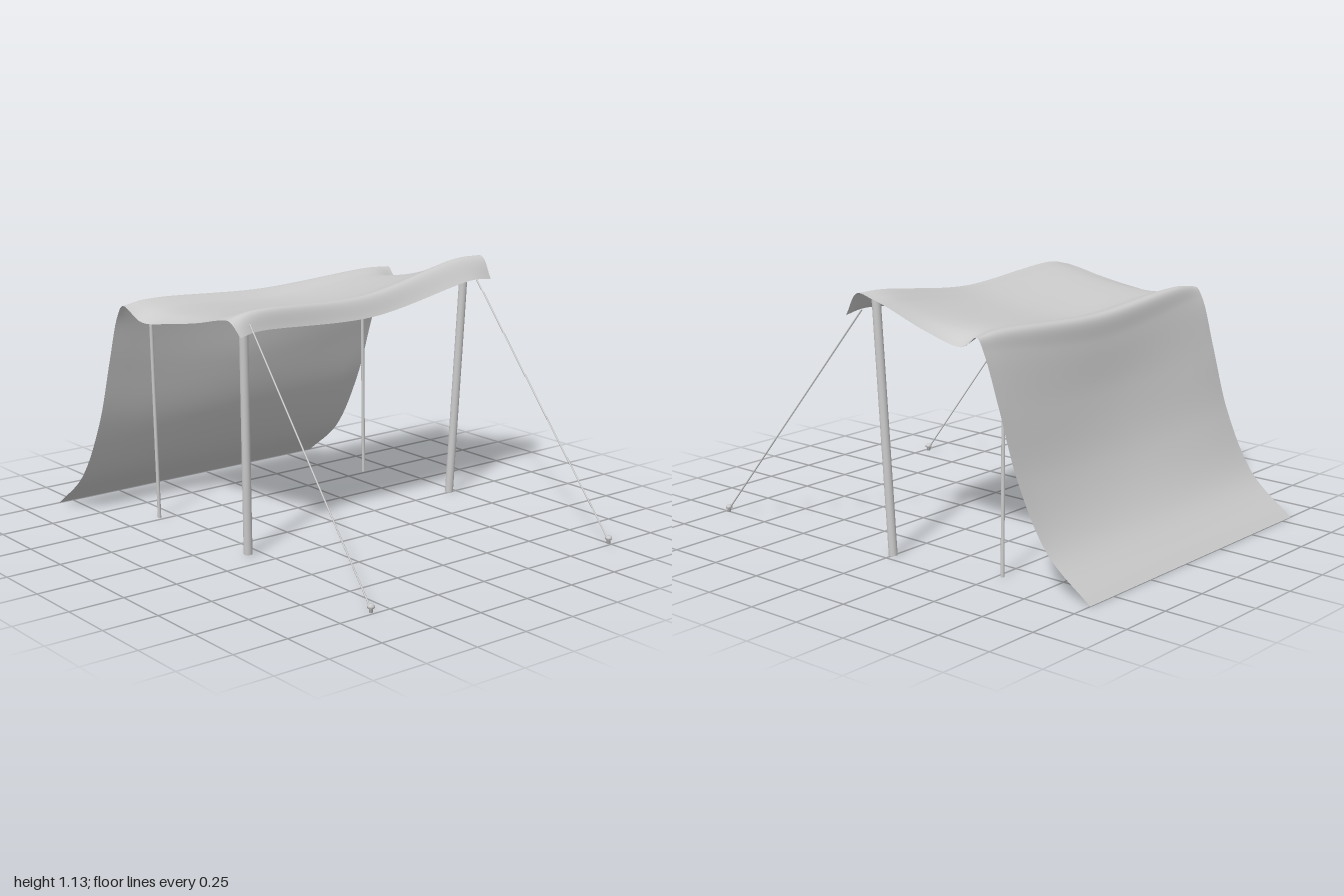
import * as THREE from 'three';

const V = (x, y, z) => new THREE.Vector3(x, y, z);

// Cloth profiles [x, y] from the ground hem over the ridge to the open hem,
// listed from the front edge to the back edge
const PROFILES = [
  [[-1, 0], [-.8, .17], [-.67, .44], [-.59, .74], [-.535, .95], [-.5, 1.0],
    [-.39, .945], [-.2, .965], [0, 1.0], [.13, 1.03], [.2, 1.035], [.27, .98]],
  [[-1, 0], [-.8, .17], [-.675, .42], [-.595, .7], [-.535, .94], [-.505, 1.015],
    [-.4, .985], [-.2, .99], [0, 1.015], [.12, 1.045], [.19, 1.06], [.23, .985]],
  [[-1, 0], [-.8, .17], [-.66, .4], [-.58, .66], [-.545, .88], [-.52, .985],
    [-.4, .965], [-.2, .975], [0, 1.005], [.09, 1.03], [.15, 1.043], [.2, .96]],
  [[-1, 0], [-.8, .17], [-.67, .42], [-.595, .7], [-.535, .94], [-.505, 1.015],
    [-.4, 1.0], [-.22, 1.025], [-.06, 1.08], [0, 1.11], [.06, 1.128], [.145, 1.04]],
  [[-1, 0], [-.8, .17], [-.67, .44], [-.59, .74], [-.53, .95], [-.5, 1.01],
    [-.4, .955], [-.24, 1.005], [-.07, 1.085], [0, 1.112], [.07, 1.128], [.135, 1.03]],
];
const ACROSS = [0, .08, .5, .92, 1];
const FRONT_Z = [.82, .81, .79, .775, .762, .755, .735, .715, .7, .688, .685, .68];
const BACK_Z = [-.65, -.665, -.69, -.715, -.732, -.74, -.72, -.755, -.795, -.81, -.822, -.82];

function clothGeometry(nu = 88, nv = 56) {
  const rows = PROFILES.map((p, r) => new THREE.CatmullRomCurve3(
    p.map(([x, y], c) => V(x, y, THREE.MathUtils.lerp(FRONT_Z[c], BACK_Z[c], ACROSS[r])))));
  const pos = [], index = [];
  for (let i = 0; i <= nu; i++) {
    const cross = new THREE.CatmullRomCurve3(rows.map(r => r.getPoint(i / nu)));
    for (let j = 0; j <= nv; j++) {
      const p = cross.getPoint(j / nv);
      pos.push(p.x, Math.max(0, p.y), p.z);
      if (i < nu && j < nv) {
        const a = i * (nv + 1) + j, b = a + nv + 1;
        index.push(a, b, a + 1, b, b + 1, a + 1);
      }
    }
  }
  const g = new THREE.BufferGeometry();
  g.setAttribute('position', new THREE.Float32BufferAttribute(pos, 3));
  g.setIndex(index);
  g.computeVertexNormals();
  return g;
}

export function createModel() {
  const group = new THREE.Group();
  const mat = new THREE.MeshStandardMaterial({ color: 0xcccccc });
  const clothMat = new THREE.MeshStandardMaterial({ color: 0xcccccc, side: THREE.DoubleSide });

  const add = (name, geo, m = mat) => {
    const mesh = new THREE.Mesh(geo, m);
    mesh.name = name;
    group.add(mesh);
    return mesh;
  };
  // Straight round bar between two points
  const bar = (name, a, b, r, sides) => {
    const d = b.clone().sub(a);
    const mesh = add(name, new THREE.CylinderGeometry(r, r, d.length(), sides));
    mesh.position.copy(a).add(b).multiplyScalar(.5);
    mesh.quaternion.setFromUnitVectors(V(0, 1, 0), d.normalize());
  };

  add('canopyCloth', clothGeometry(), clothMat);

  // Thick leaning poles under the open side, thin poles under the ridge
  bar('frontThickPole', V(.135, .003, .56), V(.185, 1.035, .605), .019, 20);
  bar('backThickPole', V(-.003, .003, -.71), V(.047, 1.1, -.735), .019, 20);
  bar('frontThinPole', V(-.522, 0, .58), V(-.506, 1.0, .612), .008, 12);
  bar('backThinPole', V(-.522, 0, -.612), V(-.506, 1.0, -.585), .008, 12);

  // Guy ropes, each tied to a ground stake
  for (const [side, top, z] of [['front', V(.225, 1.02, .602), .582], ['back', V(.13, 1.04, -.735), -.752]]) {
    bar(side + 'Rope', top, V(.98, .015, z), .0035, 8);
    const stake = add(side + 'Stake', new THREE.LatheGeometry(
      [[0, 0], [.008, 0], [.008, .016], [.015, .018], [.015, .027], [.009, .033], [0, .034]]
        .map(([x, y]) => new THREE.Vector2(x, y)), 16));
    stake.position.set(.982, 0, z);
  }
  return group;
}
